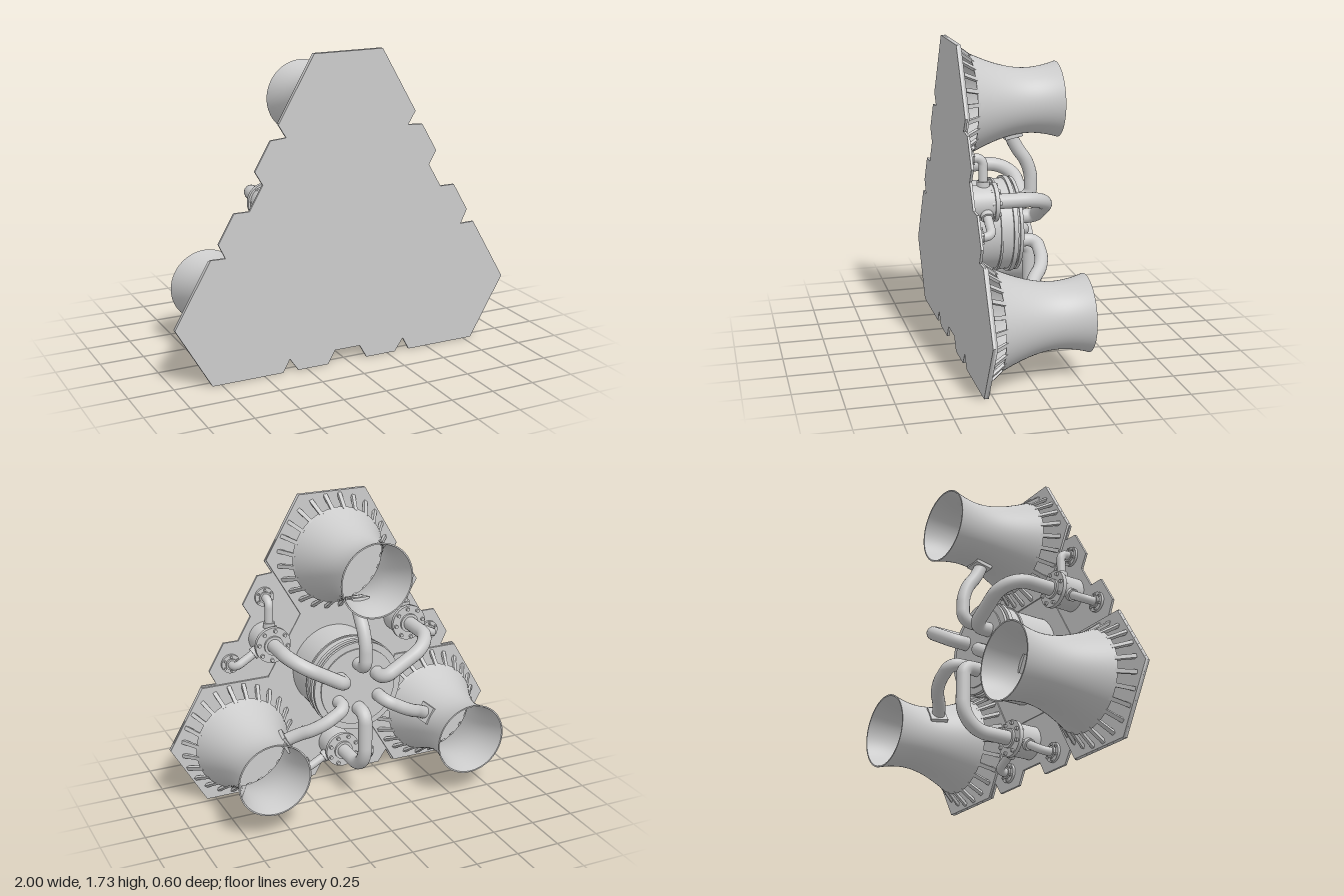
import * as THREE from 'three';

const MAT = new THREE.MeshStandardMaterial({ color: 0xcccccc, side: THREE.DoubleSide });
const HEX = 0.4, TOWER_DIST = HEX * Math.sqrt(3);
const V = (x, y, z) => new THREE.Vector3(x, y, z);

function add(parent, name, geo, x = 0, y = 0, z = 0) {
  const m = new THREE.Mesh(geo, MAT);
  m.name = name;
  m.position.set(x, y, z);
  parent.add(m);
  return m;
}

// upright cylinder standing on height y0
function disc(parent, name, r, y0, h, x = 0, z = 0, sides = 40) {
  return add(parent, name, new THREE.CylinderGeometry(r, r, h, sides), x, y0 + h / 2, z);
}

function boltCircle(parent, count, ring, r, y0, h, x = 0, z = 0) {
  for (let i = 0; i < count; i++) {
    const a = ((i + 0.5) / count) * Math.PI * 2;
    disc(parent, 'bolt', r, y0, h, x + ring * Math.cos(a), z + ring * Math.sin(a), 6);
  }
}

// tube along a polyline with rounded corners
function pipe(parent, name, pts, r, bend) {
  const path = new THREE.CurvePath();
  let last = pts[0];
  for (let i = 1; i < pts.length - 1; i++) {
    const p = pts[i], dIn = pts[i - 1].clone().sub(p), dOut = pts[i + 1].clone().sub(p);
    const b = Math.min(bend, dIn.length() * 0.49, dOut.length() * 0.49);
    const s = p.clone().add(dIn.setLength(b)), e = p.clone().add(dOut.setLength(b));
    path.add(new THREE.LineCurve3(last, s));
    // control points placed for a near-circular bend
    path.add(new THREE.CubicBezierCurve3(s, s.clone().lerp(p, 0.55), e.clone().lerp(p, 0.55), e));
    last = e;
  }
  path.add(new THREE.LineCurve3(last, pts[pts.length - 1]));
  return add(parent, name, new THREE.TubeGeometry(path, 64, r, 18), 0, 0, 0);
}

// notched base plate: one side repeated three times
function basePlate(parent) {
  const half = [[0.8, 0.693], [0.39, 0.693], [0.35, 0.62], [0.3, 0.693], [0.12, 0.693], [0.077, 0.618]];
  const side = [...half, ...half.map(([x, y]) => [-x, y]).reverse()];
  const pts = [];
  for (let k = 0; k < 3; k++) {
    for (const [x, y] of side) {
      pts.push(new THREE.Vector2(x, y).rotateAround(new THREE.Vector2(), (k * Math.PI * 2) / 3));
    }
  }
  const geo = new THREE.ExtrudeGeometry(new THREE.Shape(pts), { depth: 0.013, bevelEnabled: false });
  geo.rotateX(Math.PI / 2).translate(0, 0.013, 0); // plan y becomes +z
  // the repeated side lies opposite a tower
  geo.rotateY(Math.PI);
  add(parent, 'basePlate', geo);
}

function hexPlate(parent, name, r, h) {
  return add(parent, name, new THREE.CylinderGeometry(r, r, h, 6).rotateY(Math.PI / 6), 0, h / 2, 0);
}

function coolingTower() {
  const g = new THREE.Group();
  g.name = 'coolingTower';
  hexPlate(g, 'towerBase', HEX, 0.025);
  // hyperbolic shell
  const radius = (h) => Math.sqrt(0.0324 + 0.397 * (h - 0.43) ** 2);
  const wall = 0.008;
  for (const [name, inset] of [['towerShell', 0], ['towerLining', wall]]) {
    const profile = [];
    for (let i = 0; i <= 28; i++) {
      const h = 0.1 + (0.5 * i) / 28;
      profile.push(new THREE.Vector2(radius(h) - inset, h));
    }
    add(g, name, new THREE.LatheGeometry(profile, 64));
  }
  for (const h of [0.1, 0.6]) {
    const ring = new THREE.RingGeometry(radius(h) - wall, radius(h), 64).rotateX(-Math.PI / 2);
    add(g, 'towerRim', ring, 0, h, 0);
  }
  // slanted supports under the shell
  const foot = V(0, 0.02, 0.33), head = V(0, 0.11, 0.262);
  const span = head.clone().sub(foot);
  for (let i = 0; i < 24; i++) {
    const geo = new THREE.BoxGeometry(0.022, span.length(), 0.016);
    geo.rotateX(Math.atan2(span.z, span.y));
    geo.translate(0, (foot.y + head.y) / 2, (foot.z + head.z) / 2);
    geo.rotateY(((i + 0.5) / 24) * Math.PI * 2);
    add(g, 'support', geo);
  }
  // pipe mount on the neck, facing the middle
  const mount = add(g, 'pipeMount', new THREE.BoxGeometry(0.1, 0.1, 0.035), 0, 0.35, -0.183);
  mount.rotation.x = 0.2;
  g.position.z = TOWER_DIST;
  return g;
}

function pump() {
  const g = new THREE.Group();
  g.name = 'pump';
  const z = 0.485;
  disc(g, 'pumpBody', 0.092, 0.01, 0.125, 0, z);
  disc(g, 'pumpLid', 0.103, 0.135, 0.022, 0, z);
  boltCircle(g, 8, 0.085, 0.011, 0.12, 0.05, 0, z);
  disc(g, 'pipeCollar', 0.055, 0.157, 0.012, 0, z, 24);
  // two outlets bending down onto bolted flanges
  for (const s of [-1, 1]) {
    const x = 0.21 * s, fz = 0.6;
    pipe(g, 'outletPipe', [V(0.04 * s, 0.09, 0.507), V(x, 0.09, fz), V(x, 0.01, fz)], 0.024, 0.055);
    const collar = add(g, 'outletCollar', new THREE.CylinderGeometry(0.034, 0.034, 0.03, 20), 0.087 * s, 0.09, 0.533);
    collar.quaternion.setFromUnitVectors(V(0, 1, 0), V(0.17 * s, 0, 0.093).normalize());
    disc(g, 'outletFlange', 0.055, 0.012, 0.016, x, fz, 28);
    disc(g, 'outletNeck', 0.033, 0.028, 0.012, x, fz, 24);
    boltCircle(g, 6, 0.043, 0.007, 0.028, 0.01, x, fz);
  }
  return g;
}

function reactor(parent) {
  const g = new THREE.Group();
  g.name = 'reactor';
  hexPlate(g, 'reactorBase', HEX, 0.018);
  // stacked drums: radius, bottom, height
  const drums = [[0.25, 0.015, 0.235], [0.262, 0.23, 0.012], [0.255, 0.242, 0.058],
    [0.268, 0.3, 0.025], [0.25, 0.325, 0.012], [0.262, 0.337, 0.018], [0.225, 0.355, 0.008]];
  for (const [r, y, h] of drums) disc(g, 'reactorDrum', r, y, h, 0, 0, 64);
  parent.add(g);
}

export function createModel() {
  const model = new THREE.Group();
  model.name = 'powerPlant';
  // built lying flat, then stood up so the plate faces the front
  const plant = new THREE.Group();
  plant.name = 'plant';
  plant.rotation.x = -Math.PI / 2;
  plant.position.set(0, 0.693, 0.3);
  model.add(plant);

  basePlate(plant);
  reactor(plant);
  for (let k = 0; k < 3; k++) {
    const towerSide = new THREE.Group();
    towerSide.name = 'towerSide';
    towerSide.rotation.y = (k * Math.PI * 2) / 3;
    towerSide.add(coolingTower());
    pipe(towerSide, 'towerPipe',
      [V(0, 0.335, 0.53), V(0, 0.37, 0.44), V(0, 0.46, 0.32), V(0, 0.46, 0.14), V(0, 0.35, 0.14)], 0.037, 0.1);
    plant.add(towerSide);

    const pumpSide = new THREE.Group();
    pumpSide.name = 'pumpSide';
    pumpSide.rotation.y = (k * Math.PI * 2) / 3 + Math.PI / 3;
    pumpSide.add(pump());
    pipe(pumpSide, 'pumpPipe',
      [V(0, 0.15, 0.485), V(0, 0.455, 0.485), V(0, 0.455, 0.13), V(0, 0.35, 0.13)], 0.04, 0.15);
    plant.add(pumpSide);
  }
  return model;
}
